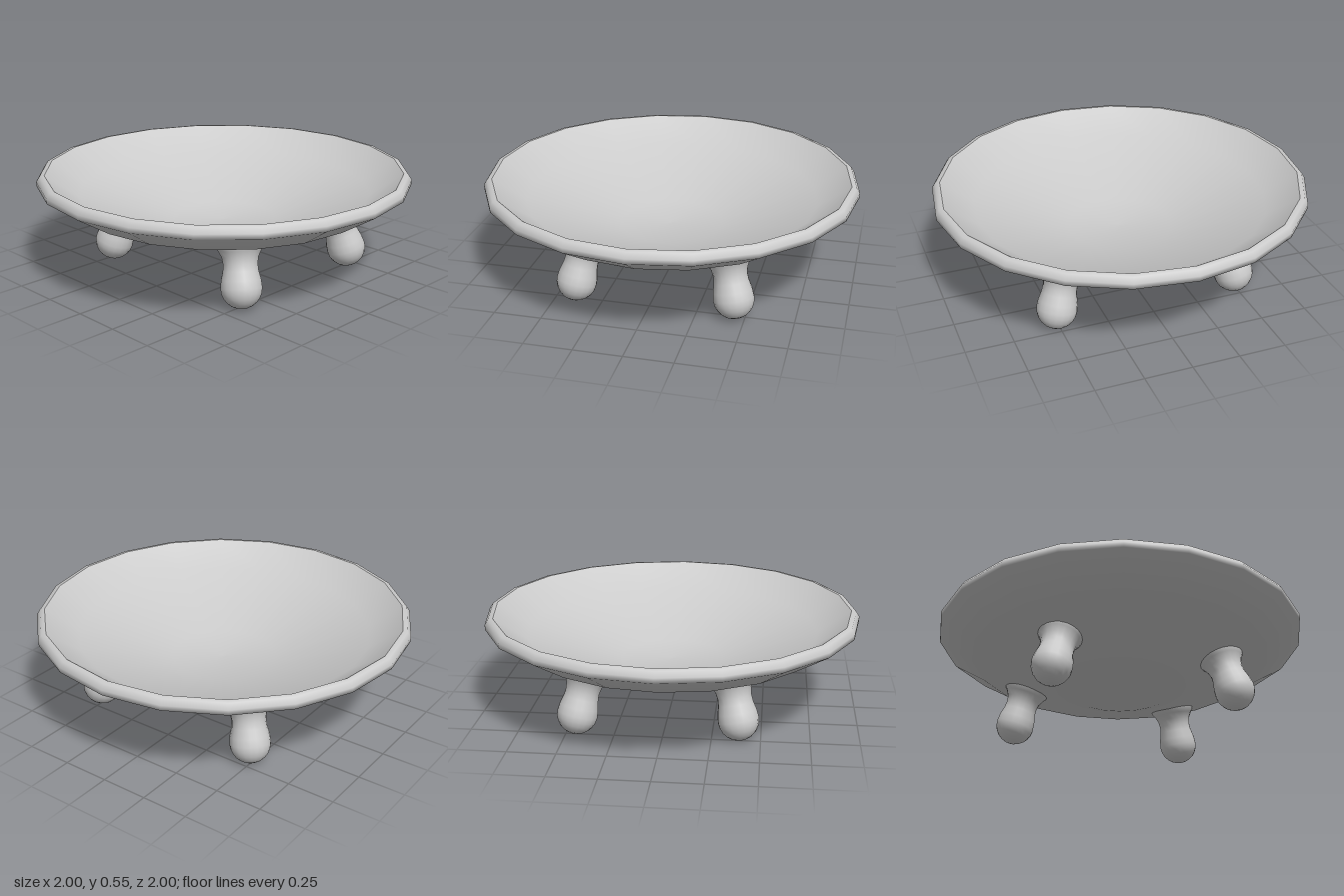
import * as THREE from 'three';

const material = new THREE.MeshStandardMaterial({ color: 0xcccccc });

// Revolve a profile of [radius, height] pairs
function lathe(name, profile, sides) {
  const points = profile.map(([r, y]) => new THREE.Vector2(r, y));
  const mesh = new THREE.Mesh(new THREE.LatheGeometry(points, sides), material);
  mesh.name = name;
  return mesh;
}

function createLeg(name, x, z) {
  // Rounded foot, narrow neck, flared top sunk into the bowl
  const r = 0.105;
  const profile = [];
  for (let i = 0; i <= 6; i++) {
    const a = (i / 6) * Math.PI / 2;
    profile.push([r * Math.sin(a), -r * Math.cos(a)]);
  }
  profile.push([0.101, 0.04], [0.09, 0.085], [0.087, 0.12], [0.093, 0.155], [0.108, 0.185], [0.122, 0.205], [0.123, 0.225]);
  const leg = lathe(name, profile, 20);
  leg.position.set(x, r, z);
  // Lean inwards, square to the sloping underside
  const inward = new THREE.Vector3(-x, 0, -z).normalize();
  const axis = inward.multiplyScalar(0.309).setY(0.951).normalize();
  leg.quaternion.setFromUnitVectors(new THREE.Vector3(0, 1, 0), axis);
  return leg;
}

export function createModel() {
  const group = new THREE.Group();
  group.name = 'footedDish';

  // Shallow twenty-sided bowl, with a sharp edge where the rim meets the inside
  const bowl = new THREE.Group();
  bowl.name = 'bowl';
  bowl.rotation.y = 0.018;
  bowl.add(
    lathe('bowlOutside', [[0, 0.2], [0.285, 0.2], [0.81, 0.37], [0.998, 0.487], [1, 0.515], [0.982, 0.542], [0.957, 0.546]], 20),
    lathe('bowlInside', [[0.957, 0.546], [0.785, 0.425], [0.28, 0.258], [0, 0.25]], 20),
  );
  group.add(bowl);

  // Four legs
  for (const [side, x] of [['Left', 0.44], ['Right', -0.385]]) {
    group.add(createLeg('front' + side + 'Leg', x, 0.505));
    group.add(createLeg('back' + side + 'Leg', x, -0.48));
  }
  return group;
}
